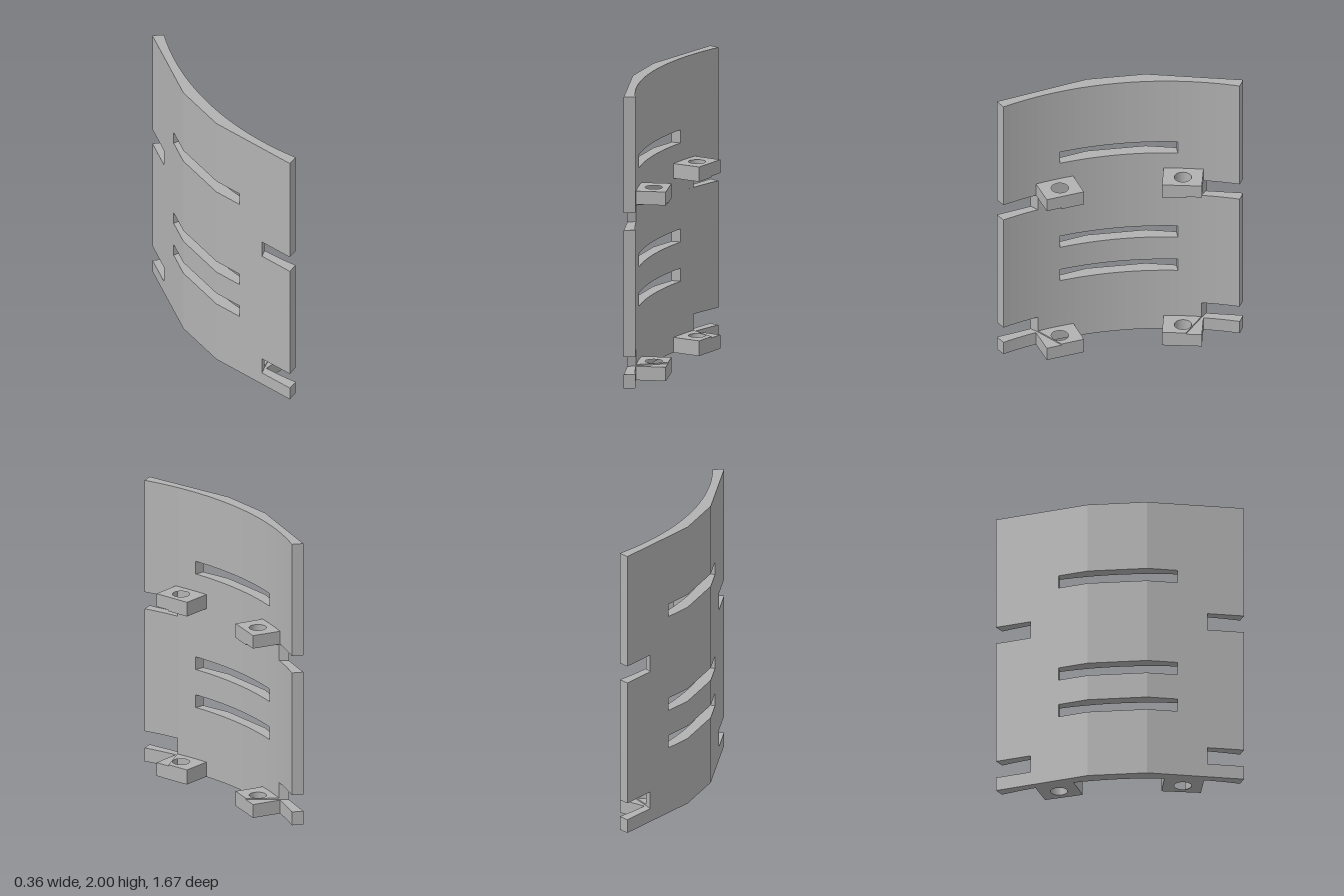
import * as THREE from 'three';

const R = 2.08; // radius of the concave inner face
const innerX = z => -0.1 + R - Math.sqrt(R * R - z * z);
const outerX = z => -0.18 + Math.max(0, Math.abs(z) - 0.2) * 0.268;

// Upright prism from a plan outline of [x, z] points, between two heights
function prism(points, y0, y1, hole) {
  const shape = new THREE.Shape(points.map(([x, z]) => new THREE.Vector2(x, -z)));
  if (hole) {
    const path = new THREE.Path();
    path.absarc(hole[0], -hole[1], hole[2], 0, Math.PI * 2, true);
    shape.holes.push(path);
  }
  const geo = new THREE.ExtrudeGeometry(shape, { depth: y1 - y0, bevelEnabled: false, curveSegments: 32 });
  return geo.rotateX(-Math.PI / 2).translate(0, y0, 0);
}

// Plan of the curved wall: each end is given as [z on outer face, z on inner face]
function wallPlan([oa, ia], [ob, ib]) {
  const pts = [];
  for (const z of [oa, -0.2, 0.2, ob]) {
    if (z >= oa && z <= ob) pts.push([outerX(z), z]);
  }
  const outer = pts.filter((p, i) => i === 0 || p[1] !== pts[i - 1][1]);
  const n = Math.max(6, Math.round((ib - ia) * 20));
  for (let i = 0; i <= n; i++) {
    const z = ib + (ia - ib) * i / n;
    outer.push([innerX(z), z]);
  }
  return outer;
}

export function createModel() {
  const model = new THREE.Group();
  model.name = 'curvedBracketPlate';
  const grey = new THREE.MeshStandardMaterial({ color: 0xb2b2b2 });
  grey.name = 'grey';

  const add = (parent, name, geo) => {
    const mesh = new THREE.Mesh(geo, grey);
    mesh.name = name;
    parent.add(mesh);
  };

  // Curved wall, in bands: full width, notched at both edges, or slotted in the middle
  const wall = new THREE.Group();
  wall.name = 'wall';
  model.add(wall);
  const END = [0.835, 0.8], NOTCH = [0.595, 0.553], SLOT = [0.4, 0.4];
  const neg = e => e.map(v => -v);
  const bands = [
    [0, 0.095, 'full'], [0.095, 0.215, 'notch'], [0.215, 0.47, 'full'],
    [0.47, 0.56, 'slot'], [0.56, 0.74, 'full'], [0.74, 0.83, 'slot'],
    [0.83, 1.085, 'full'], [1.085, 1.205, 'notch'], [1.205, 1.42, 'full'],
    [1.42, 1.51, 'slot'], [1.51, 2, 'full'],
  ];
  for (const [y0, y1, kind] of bands) {
    if (kind === 'slot') {
      add(wall, 'slotSideFront', prism(wallPlan(SLOT, END), y0, y1));
      add(wall, 'slotSideBack', prism(wallPlan(neg(END), neg(SLOT)), y0, y1));
    } else {
      const e = kind === 'notch' ? NOTCH : END;
      add(wall, kind === 'notch' ? 'notchedBand' : 'fullBand', prism(wallPlan(neg(e), e), y0, y1));
    }
  }

  // Drilled tabs on the inner face; the notch shaves a corner off each one
  const main = [[-0.095, 0.309], [0.12, 0.265], [0.153, 0.42], [-0.025, 0.553], [-0.045, 0.55]];
  const corner = [[-0.025, 0.553], [0.153, 0.42], [0.175, 0.525], [-0.02, 0.567], [-0.035, 0.57]];
  const levels = [
    { name: 'lowerTab', main: [0, 0.104], corner: [0, 0.095] },
    { name: 'upperTab', main: [1.196, 1.297], corner: [1.205, 1.297] },
  ];
  for (const side of [1, -1]) {
    const mirror = pts => pts.map(([x, z]) => [x, z * side]);
    for (const level of levels) {
      const tab = new THREE.Group();
      tab.name = level.name + (side > 0 ? 'Front' : 'Back');
      add(tab, 'drilledBlock', prism(mirror(main), ...level.main, [0.05, 0.417 * side, 0.058]));
      add(tab, 'shavedCorner', prism(mirror(corner), ...level.corner));
      model.add(tab);
    }
  }
  return model;
}
